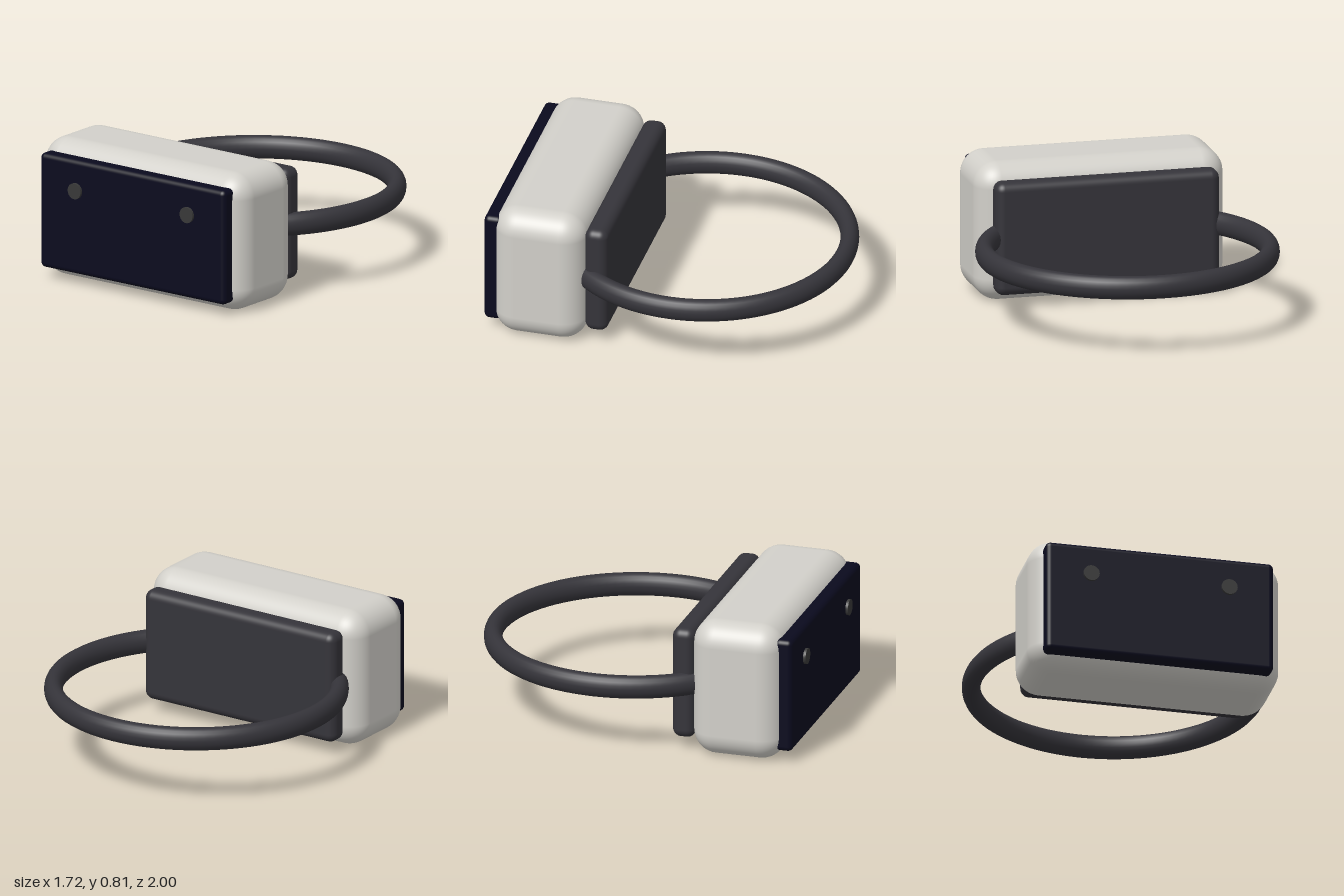
import * as THREE from 'three';
import { RoundedBoxGeometry } from 'three/addons/geometries/RoundedBoxGeometry.js';

function material(name, color) {
  const m = new THREE.MeshStandardMaterial({ color });
  m.name = name;
  return m;
}

export function createModel() {
  const group = new THREE.Group();
  group.name = 'headset';

  const shell = material('warm light grey', 0xd2d0ca);
  const glass = material('midnight blue', 0x0a0a1e);
  const fabric = material('charcoal', 0x35343a);
  const lens = material('dark grey', 0x383838);

  const add = (name, geometry, mat, x, y, z) => {
    const mesh = new THREE.Mesh(geometry, mat);
    mesh.name = name;
    mesh.position.set(x, y, z);
    group.add(mesh);
    return mesh;
  };

  // Rounded box given its width, height, back and front z, and edge radius
  const box = (name, mat, w, h, back, front, r) =>
    add(name, new RoundedBoxGeometry(w, h, front - back, 6, r), mat, 0, 0.404, (back + front) / 2);

  // Housing, front visor plate and face cushion
  box('housing', shell, 1.454, 0.806, 0.393, 0.93, 0.14);
  box('visor', glass, 1.32, 0.67, 0.88, 0.985, 0.03);
  box('faceCushion', fabric, 1.304, 0.656, 0.268, 0.402, 0.05);

  // Head strap: a lying ring, taller than it is thick, running into the housing
  const ring = new THREE.TorusGeometry(0.807, 0.053, 20, 96);
  ring.rotateX(Math.PI / 2);
  ring.scale(1, 1.27, 1);
  add('headStrap', ring, fabric, 0, 0.406, -0.14);

  // Camera discs on the visor
  for (const side of [-1, 1]) {
    const disc = new THREE.CylinderGeometry(0.046, 0.046, 0.03, 32);
    disc.rotateX(Math.PI / 2);
    add(side > 0 ? 'leftCamera' : 'rightCamera', disc, lens, side * 0.4, 0.56, 0.985);
  }

  return group;
}
